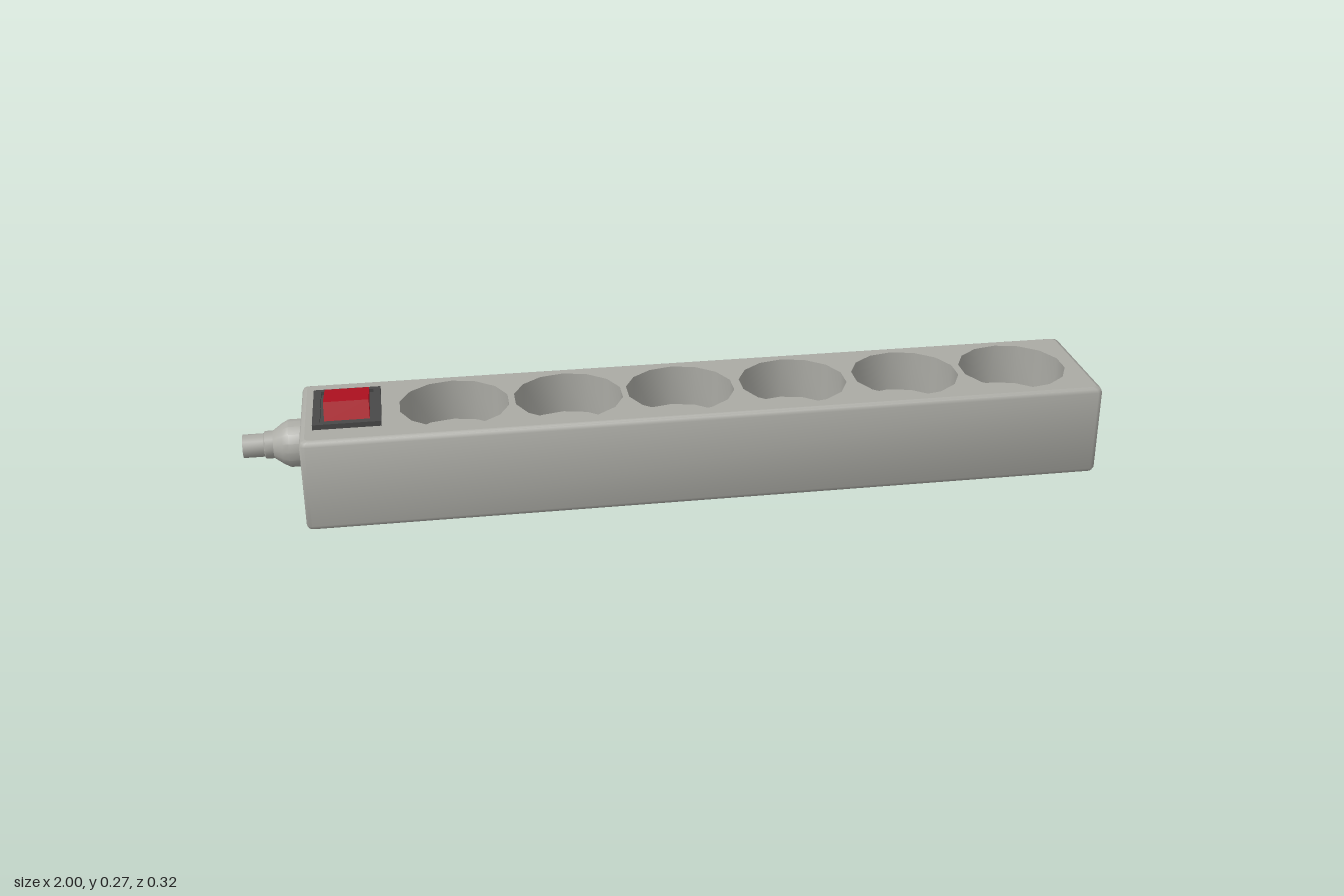
import * as THREE from 'three';
import { toCreasedNormals } from 'three/addons/utils/BufferGeometryUtils.js';

const HX = 0.9325, HZ = 0.16, H = 0.222, CX = 0.0675, BEVEL = 0.012;
const SOCKETS = [-0.515, -0.25, 0.014, 0.285, 0.56, 0.827];
const RADIUS = 0.128, SIDES = 14, DEPTH = 0.1;

// Rounded rectangle outline, counter-clockwise in the shape plane
function outline(inset) {
  const r = BEVEL, pts = [];
  const sx = HX - inset - r, sy = HZ - inset - r;
  [[1, 1], [-1, 1], [-1, -1], [1, -1]].forEach(([mx, my], corner) => {
    for (let i = 0; i <= 3; i++) {
      const a = (corner + i / 3) * Math.PI / 2;
      pts.push(new THREE.Vector2(CX + mx * sx + r * Math.cos(a), my * sy + r * Math.sin(a)));
    }
  });
  return pts;
}

// Side walls: outline rings joined from bottom to top
function wallGeometry() {
  const b = BEVEL, k = 0.3 * b;
  const rings = [[0, b], [k, k], [b, 0], [H - b, 0], [H - k, k], [H, b]];
  const pos = [], index = [], n = 16;
  for (const [y, inset] of rings) for (const p of outline(inset)) pos.push(p.x, y, -p.y);
  for (let j = 0; j < rings.length - 1; j++) {
    for (let i = 0; i < n; i++) {
      const a = j * n + i, c = j * n + (i + 1) % n;
      index.push(a, c, c + n, a, c + n, a + n);
    }
  }
  const g = new THREE.BufferGeometry();
  g.setAttribute('position', new THREE.Float32BufferAttribute(pos, 3));
  g.setIndex(index);
  return toCreasedNormals(g, 0.9);
}

function rect(hx, hy, Type = THREE.Shape) {
  return new Type([[-hx, -hy], [hx, -hy], [hx, hy], [-hx, hy]].map(([x, y]) => new THREE.Vector2(x, y)));
}

export function createModel() {
  const model = new THREE.Group();
  model.name = 'powerStrip';
  const material = (name, color) => {
    const m = new THREE.MeshStandardMaterial({ color });
    m.name = name;
    return m;
  };
  const grey = material('warm grey', 0xaaaaa4);
  const dark = material('dark grey', 0x484848);
  const red = material('red', 0xb01020);
  const add = (name, geometry, mat, x = 0, y = 0, z = 0, parent = model) => {
    const mesh = new THREE.Mesh(geometry, mat);
    mesh.name = name;
    mesh.position.set(x, y, z);
    parent.add(mesh);
    return mesh;
  };

  // Housing
  add('housingWalls', wallGeometry(), grey);
  add('housingBottom', new THREE.ShapeGeometry(new THREE.Shape(outline(BEVEL))).rotateX(-Math.PI / 2).scale(1, 1, -1), grey);
  const bottom = model.getObjectByName('housingBottom').geometry;
  bottom.dispose();
  model.getObjectByName('housingBottom').geometry =
    new THREE.ShapeGeometry(new THREE.Shape(outline(BEVEL))).rotateX(Math.PI / 2);

  const top = new THREE.Shape(outline(BEVEL));
  for (const x of SOCKETS) {
    const hole = [];
    for (let i = 0; i < SIDES; i++) {
      const a = i / SIDES * Math.PI * 2;
      hole.push(new THREE.Vector2(x + RADIUS * Math.sin(a), -RADIUS * Math.cos(a)));
    }
    top.holes.push(new THREE.Path(hole));
  }
  add('housingTop', new THREE.ShapeGeometry(top).rotateX(-Math.PI / 2), grey, 0, H);

  // Round socket wells, profile running from the rim to the floor centre
  const wellProfile = [[RADIUS, 0], [RADIUS, -DEPTH], [0, -DEPTH]].map(([x, y]) => new THREE.Vector2(x, y));
  const well = toCreasedNormals(new THREE.LatheGeometry(wellProfile, SIDES), 0.6);
  SOCKETS.forEach((x, i) => add(`socketWell${i + 1}`, well, grey, x, H));

  // Switch: frame, recessed floor and slanted rocker
  const powerSwitch = new THREE.Group();
  powerSwitch.name = 'powerSwitch';
  powerSwitch.position.set(-0.759, H, 0);
  model.add(powerSwitch);
  const frame = rect(0.077, 0.096);
  frame.holes.push(rect(0.06, 0.083, THREE.Path));
  const frameGeometry = new THREE.ExtrudeGeometry(frame, { depth: 0.012, bevelEnabled: false });
  add('switchFrame', frameGeometry.rotateX(-Math.PI / 2), dark, 0, 0, 0, powerSwitch);
  add('switchRecess', new THREE.BoxGeometry(0.122, 0.004, 0.168), dark, 0, 0.002, 0, powerSwitch);
  const rocker = new THREE.Shape([[-0.062, 0.003], [0.075, 0.003], [0.075, 0.021], [-0.045, 0.044]]
    .map(([x, y]) => new THREE.Vector2(x, y)));
  const rockerGeometry = new THREE.ExtrudeGeometry(rocker, { depth: 0.102, bevelEnabled: false });
  rockerGeometry.translate(0, 0, -0.051).rotateY(Math.PI / 2);
  add('switchRocker', rockerGeometry, red, 0, 0, 0, powerSwitch);

  // Cable stub with stepped strain relief
  const cableProfile = [[0, -0.02], [0.055, -0.02], [0.055, 0.03], [0.047, 0.045], [0.032, 0.066],
    [0.032, 0.085], [0.027, 0.087], [0.027, 0.135], [0, 0.135]].map(([x, y]) => new THREE.Vector2(x, y));
  const cable = toCreasedNormals(new THREE.LatheGeometry(cableProfile, 16), 0.6);
  add('cableStub', cable.rotateZ(Math.PI / 2), grey, -0.865, 0.148, 0);

  return model;
}
